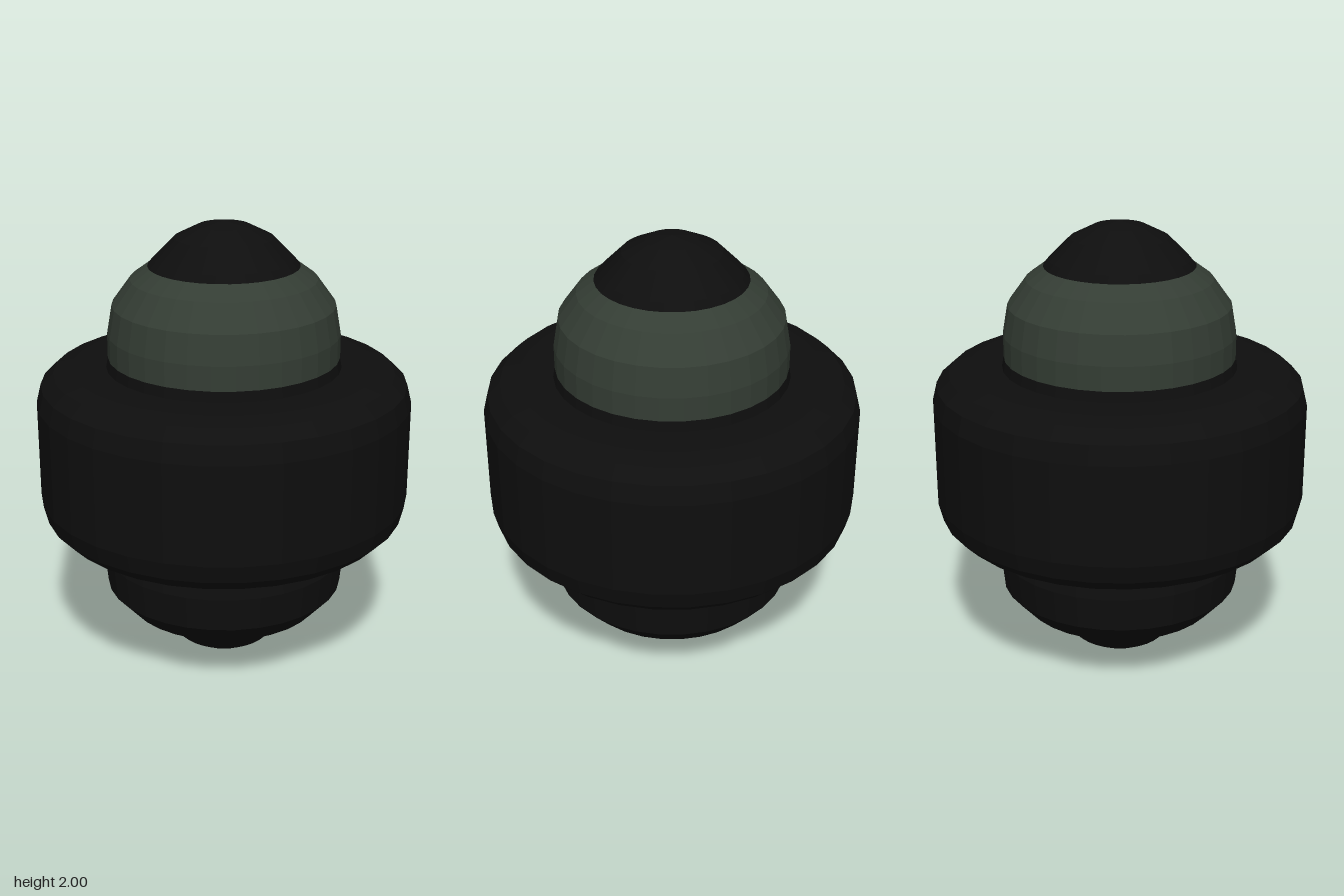
import * as THREE from 'three';

const SEGMENTS = 32;

export function createModel() {
  const model = new THREE.Group();
  model.name = 'capsule';

  const black = new THREE.MeshStandardMaterial({ color: 0x0e0e0e, flatShading: true });
  black.name = 'black';
  const green = new THREE.MeshStandardMaterial({ color: 0x343d34, flatShading: true });
  green.name = 'dark green';

  // Turned part from a [radius, height] profile, listed bottom to top
  function turned(name, material, profile) {
    const points = profile.map(([r, y]) => new THREE.Vector2(r, y));
    const mesh = new THREE.Mesh(new THREE.LatheGeometry(points, SEGMENTS), material);
    mesh.name = name;
    model.add(mesh);
  }

  // Bottom end
  turned('bottomCap', black, [[0, 0], [0.11, 0.02], [0.21, 0.08], [0.3, 0.17], [0.33, 0.2]]);
  turned('bottomTrim', green, [[0.33, 0.2], [0.365, 0.225]]);
  turned('lowerCup', black, [[0.36, 0.225], [0.44, 0.25], [0.53, 0.35], [0.545, 0.5], [0.52, 0.65]]);

  // Wide rounded ring around the middle
  turned('middleRing', black, [
    [0.48, 0.635], [0.66, 0.635], [0.74, 0.655], [0.795, 0.71], [0.815, 0.79],
    [0.815, 1.22], [0.795, 1.3], [0.74, 1.35], [0.66, 1.37], [0.48, 1.37],
  ]);

  // Upper dome
  turned('collar', black, [[0.512, 1.36], [0.502, 1.415]]);
  turned('dome', green, [[0.502, 1.415], [0.502, 1.52], [0.48, 1.645], [0.4, 1.755], [0.325, 1.81]]);
  turned('topCap', black, [[0.325, 1.81], [0.3, 1.84], [0.21, 1.93], [0.11, 1.98], [0, 2]]);

  return model;
}
